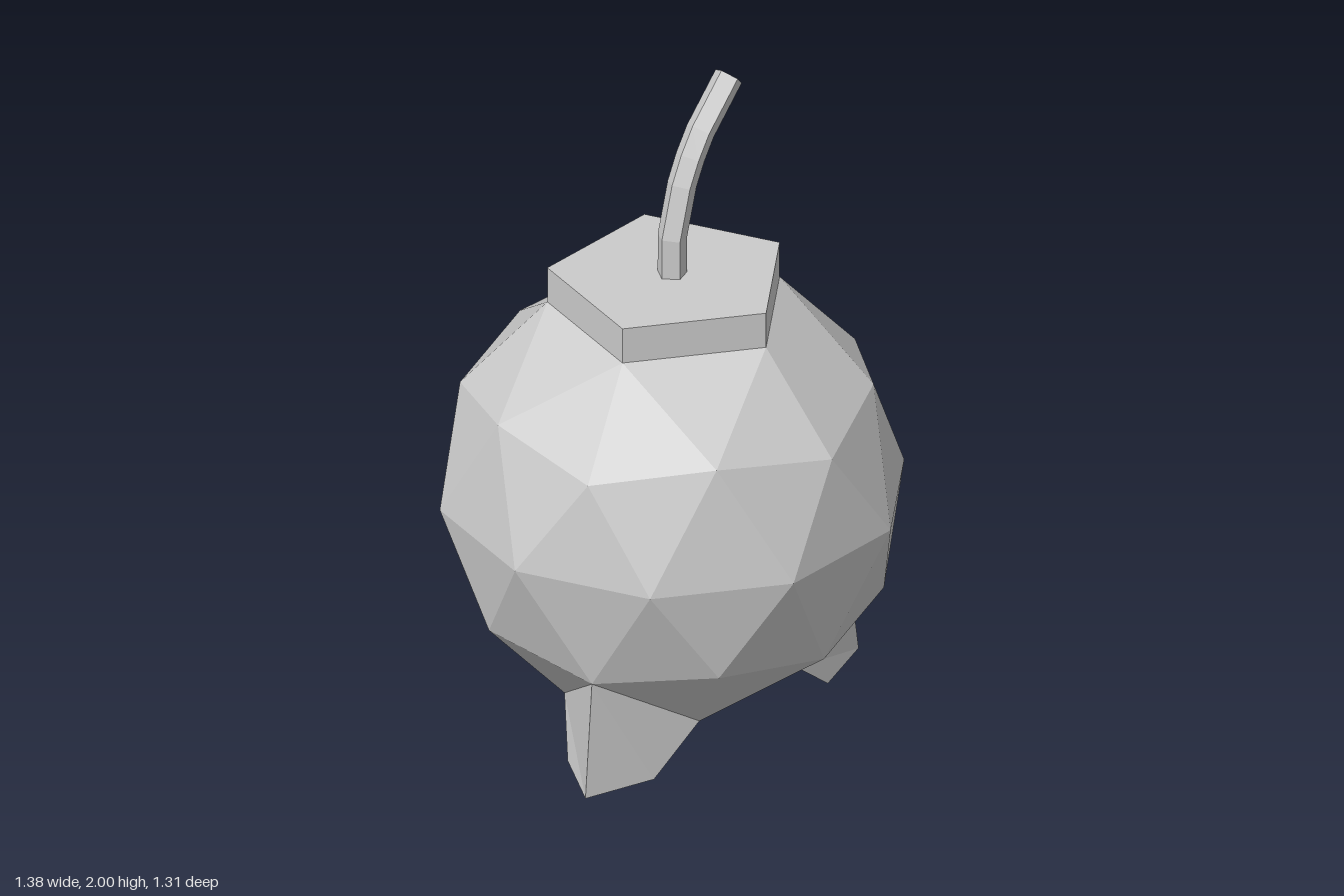
import * as THREE from 'three';

const material = new THREE.MeshStandardMaterial({ color: 0xcccccc, flatShading: true });

function addMesh(parent, name, geometry) {
  const flat = geometry.index ? geometry.toNonIndexed() : geometry;
  flat.computeVertexNormals();
  const mesh = new THREE.Mesh(flat, material);
  mesh.name = name;
  parent.add(mesh);
  return mesh;
}

// Joins rings of points (counter-clockwise seen from the last ring's end) and caps both ends
function loft(rings) {
  const n = rings[0].length;
  const last = (rings.length - 1) * n;
  const index = [];
  for (let i = 0; i < rings.length - 1; i++) {
    for (let j = 0; j < n; j++) {
      const a = i * n + j;
      const b = i * n + (j + 1) % n;
      index.push(a, b, a + n, b, b + n, a + n);
    }
  }
  for (let j = 1; j < n - 1; j++) {
    index.push(0, j + 1, j, last, last + j, last + j + 1);
  }
  const geometry = new THREE.BufferGeometry();
  geometry.setAttribute('position', new THREE.Float32BufferAttribute(rings.flat(2), 3));
  geometry.setIndex(index);
  return geometry;
}

export function createModel() {
  const group = new THREE.Group();
  const radius = 0.69;
  const centreY = 0.72;

  // Faceted ball, turned so that one vertex points straight up
  const ball = new THREE.IcosahedronGeometry(radius, 1);
  ball.rotateX(-Math.atan((1 + Math.sqrt(5)) / 2));
  ball.translate(0, centreY, 0);
  addMesh(group, 'body', ball);

  // Five-sided cap sitting on the ball's top ring
  const cap = new THREE.CylinderGeometry(0.363, 0.363, 0.113, 5);
  cap.translate(0, 1.3635, 0);
  addMesh(group, 'cap', cap);

  // Bent five-sided fuse, one corner on the outside of the bend
  const path = [[0, 1.41], [0, 1.54], [0.043, 1.695], [0.08, 1.771], [0.125, 1.84], [0.25, 1.97]];
  const fuseRings = path.map(([x, y], i) => {
    const before = path[Math.max(i - 1, 0)];
    const after = path[Math.min(i + 1, path.length - 1)];
    const lean = Math.atan2(after[0] - before[0], after[1] - before[1]);
    return Array.from({ length: 5 }, (_, j) => {
      const angle = j * Math.PI * 2 / 5;
      const side = -0.045 * Math.cos(angle);
      return [x + side * Math.cos(lean), y - side * Math.sin(lean), 0.045 * Math.sin(angle)];
    });
  });
  addMesh(group, 'fuse', loft(fuseRings));

  // Feet: one triangle of the ball drawn down to a smaller triangle on the floor
  const sole = [[0.60, 0, 0.193], [0.464, 0, 0.005], [0.382, 0, 0.266]];
  const ankle = [[0.558, 0.357, 0.181], [0.345, 0.133, -0.112], [0.213, 0.133, 0.293]];
  for (const side of [1, -1]) {
    const rings = [sole, ankle].map((ring) => {
      const points = ring.map(([x, y, z]) => [x * side, y, z]);
      return side > 0 ? points : points.reverse();
    });
    addMesh(group, side > 0 ? 'leftFoot' : 'rightFoot', loft(rings));
  }

  return group;
}
